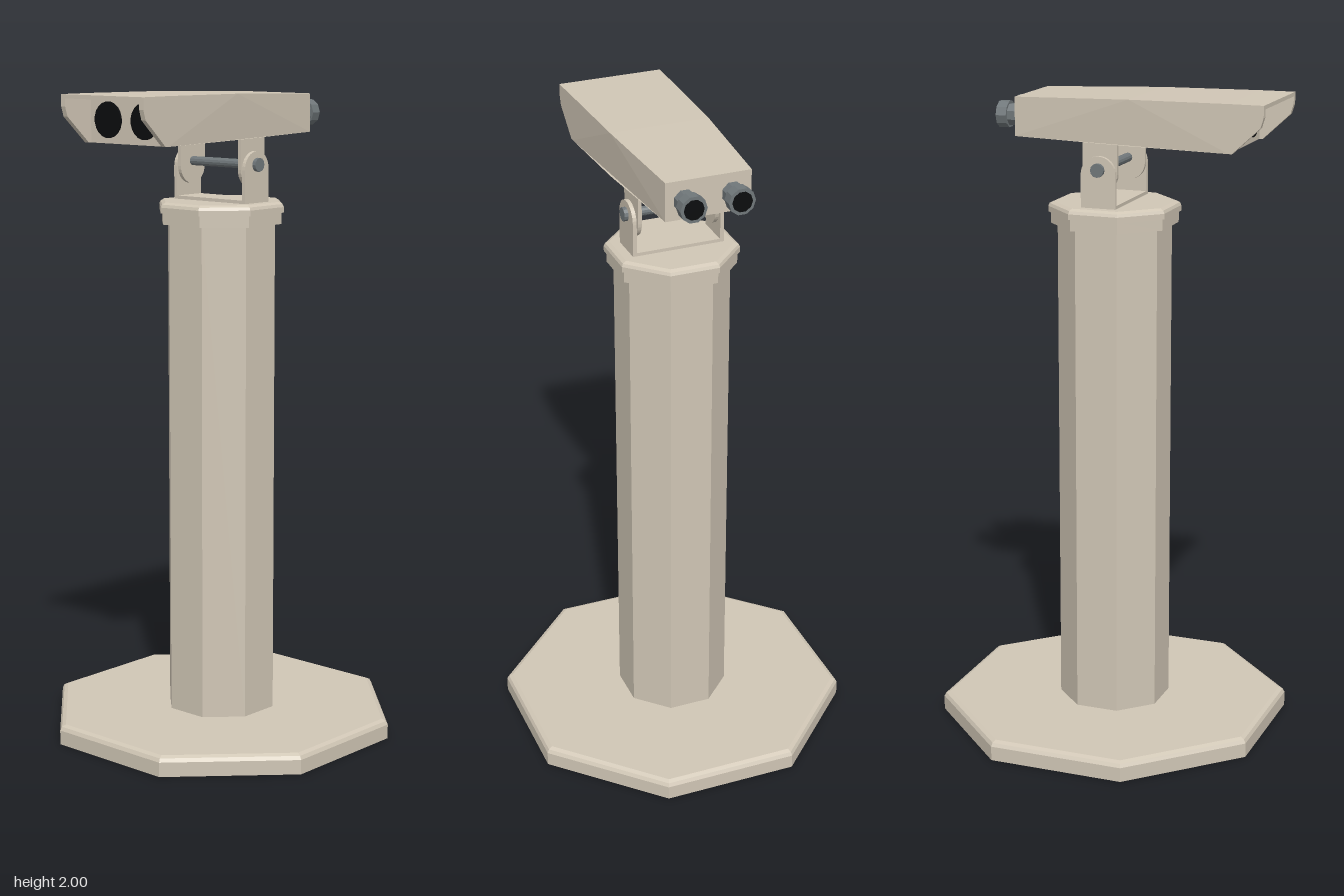
import * as THREE from 'three';

const mat = (name, color) => Object.assign(new THREE.MeshStandardMaterial({ color, flatShading: true }), { name });

export function createModel() {
  const paint = mat('beige paint', 0xd0c6b5);
  const metal = mat('grey metal', 0x70777a);
  const glass = mat('black glass', 0x0b0c0e);
  const model = new THREE.Group();
  model.name = 'viewingBinoculars';

  const add = (parent, name, geometry, material) => {
    const mesh = new THREE.Mesh(geometry, material);
    mesh.name = name;
    parent.add(mesh);
    return mesh;
  };
  const group = (name, parent = model) => {
    const g = new THREE.Group();
    g.name = name;
    parent.add(g);
    return g;
  };
  // Octagonal solid from [half width across flats, y] pairs
  const octagon = (profile) => {
    const pts = profile.map(([a, y]) => new THREE.Vector2(a / Math.cos(Math.PI / 8), y));
    pts.unshift(new THREE.Vector2(0, profile[0][1]));
    pts.push(new THREE.Vector2(0, profile[profile.length - 1][1]));
    return new THREE.LatheGeometry(pts, 8).rotateY(Math.PI / 8);
  };
  // Side profile (z, y) extruded across x from x0 to x1
  const slab = (shape, x0, x1) =>
    new THREE.ExtrudeGeometry(shape, { depth: x1 - x0, bevelEnabled: false, curveSegments: 8 })
      .rotateY(-Math.PI / 2).translate(x1, 0, 0);
  const poly = (pts) => new THREE.Shape(pts.map(([z, y]) => new THREE.Vector2(z, y)));

  // Pedestal
  const pedestal = group('pedestal');
  pedestal.rotation.y = -0.008;
  add(pedestal, 'base', octagon([[0.511, 0], [0.511, 0.045], [0.505, 0.056], [0.493, 0.062]]), paint);
  add(pedestal, 'column', octagon([[0.161, 0.06], [0.161, 1.605]]), paint);
  add(pedestal, 'collar', octagon([[0.18, 1.6], [0.18, 1.637]]), paint);
  add(pedestal, 'cap', octagon([[0.187, 1.635], [0.187, 1.652], [0.183, 1.661], [0.172, 1.667]]), paint);

  // Yoke: round-topped uprights outside, hanging plates inside, pivot through both
  const yoke = group('yoke');
  const pivotY = 1.782, half = 0.055;
  const upright = new THREE.Shape();
  upright.moveTo(-half, 1.665);
  upright.lineTo(half, 1.665);
  upright.lineTo(half, 1.768);
  upright.absarc(0, 1.768, half, 0, Math.PI, false);
  const hanger = new THREE.Shape();
  hanger.moveTo(half, 1.865);
  hanger.lineTo(-half, 1.865);
  hanger.lineTo(-half, 1.768);
  hanger.absarc(0, 1.768, half, Math.PI, Math.PI * 2, false);
  add(yoke, 'yokeFoot', new THREE.BoxGeometry(0.288, 0.014, half * 2).translate(0, 1.67, 0), paint);
  for (const side of [-1, 1]) {
    const c = side * 0.138, h = side * 0.122;
    add(yoke, 'upright', slab(upright, c - 0.006, c + 0.006), paint);
    add(yoke, 'hanger', slab(hanger, h - 0.006, h + 0.006), paint);
    add(yoke, 'pivotBolt', new THREE.CylinderGeometry(0.021, 0.021, 0.02, 12)
      .rotateZ(Math.PI / 2).translate(side * 0.146, pivotY, 0), metal);
  }
  add(yoke, 'axle', new THREE.CylinderGeometry(0.014, 0.014, 0.26, 12)
    .rotateZ(Math.PI / 2).translate(0, pivotY, 0), metal);

  // Head: pieces modelled at unit half width, then tapered towards the rear
  const head = group('head');
  head.position.x = -0.002;
  const halfWidth = (z) => z < 0.1
    ? THREE.MathUtils.mapLinear(z, -0.27, 0.1, 0.131, 0.155)
    : THREE.MathUtils.mapLinear(z, 0.1, 0.514, 0.155, 0.165);
  const taper = (geometry) => {
    const p = geometry.attributes.position;
    for (let i = 0; i < p.count; i++) p.setX(i, p.getX(i) * halfWidth(p.getZ(i)));
    geometry.computeVertexNormals();
    return geometry;
  };
  const front = 0.41;
  add(head, 'housing', taper(slab(poly([
    [-0.27, 1.868], [0.1, 1.861], [front, 1.856], [front, 2], [0.1, 1.997], [-0.27, 1.986],
  ]), -1, 1)), paint);
  add(head, 'hoodRoof', taper(slab(poly([
    [front, 1.988], [0.514, 1.988], [0.514, 2], [front, 2],
  ]), -1, 1)), paint);
  const cheek = poly([[front, 1.856], [0.42, 1.856], [0.505, 1.935], [0.514, 1.965], [0.514, 1.99], [front, 1.99]]);
  add(head, 'leftCheek', taper(slab(cheek, 0.9, 1)), paint);
  add(head, 'rightCheek', taper(slab(cheek, -1, -0.9)), paint);

  // Lenses in front, stepped eyepieces behind
  for (const side of [-1, 1]) {
    const optics = group(side > 0 ? 'leftOptics' : 'rightOptics', head);
    optics.position.set(side * 0.073, 1.925, 0);
    const disc = (name, r, z0, z1, sides, material) =>
      add(optics, name, new THREE.CylinderGeometry(r, r, z1 - z0, sides)
        .rotateY(Math.PI / sides).rotateX(Math.PI / 2).translate(0, 0, (z0 + z1) / 2), material);
    disc('lens', 0.053, front - 0.002, front + 0.006, 20, glass);
    disc('eyepieceTube', 0.034, -0.31, -0.265, 8, metal);
    disc('eyepieceCup', 0.041, -0.34, -0.307, 10, metal);
    disc('eyepieceGlass', 0.031, -0.342, -0.336, 10, glass);
  }
  return model;
}
